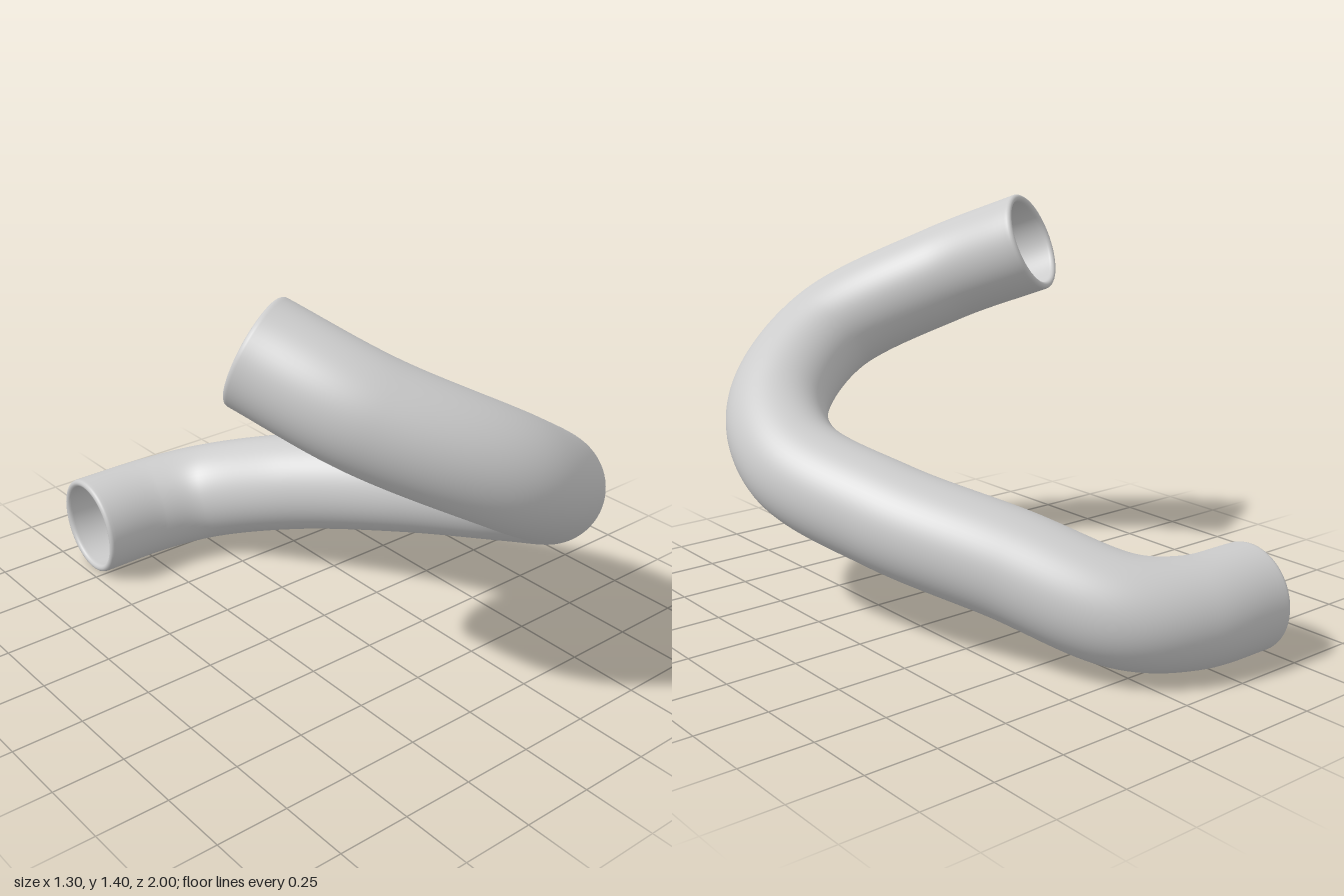
import * as THREE from 'three';

const OUTER = 0.181, INNER = 0.155;
const STEPS = 160, SIDES = 64, RIM = 6;

// Centre line from the low open end to the high open end
const path = new THREE.CatmullRomCurve3([
  [-0.48, 0.182, -0.82],
  [-0.2, 0.188, -0.808],
  [0.0, 0.218, -0.72],
  [0.19, 0.325, -0.4],
  [0.375, 0.42, 0],
  [0.475, 0.53, 0.42],
  [0.365, 0.675, 0.69],
  [0.05, 0.885, 0.819],
  [-0.305, 1.09, 0.59],
  [-0.482, 1.235, 0.27],
].map((p) => new THREE.Vector3(...p)));
path.arcLengthDivisions = 600;

// Hollow pipe: rings run along the outside, round the rim, back inside and round the other rim
function hollowPipe(curve) {
  const frames = curve.computeFrenetFrames(STEPS, false);
  const mid = (OUTER + INNER) / 2, lip = (OUTER - INNER) / 2;
  const rings = [];
  for (let i = 1; i < STEPS; i++) rings.push([i, OUTER, 0]);
  for (let k = 0; k <= RIM; k++) {
    const a = (k / RIM) * Math.PI;
    rings.push([STEPS, mid + lip * Math.cos(a), lip * (Math.sin(a) - 1)]);
  }
  for (let i = STEPS - 1; i > 0; i--) rings.push([i, INNER, 0]);
  for (let k = 0; k <= RIM; k++) {
    const a = (k / RIM) * Math.PI;
    rings.push([0, mid - lip * Math.cos(a), -lip * (Math.sin(a) - 1)]);
  }

  const positions = [], index = [];
  rings.forEach(([i, radius, shift], r) => {
    const centre = curve.getPointAt(i / STEPS).addScaledVector(frames.tangents[i], shift);
    const next = (r + 1) % rings.length;
    for (let j = 0; j < SIDES; j++) {
      const a = (j / SIDES) * Math.PI * 2;
      const p = centre.clone()
        .addScaledVector(frames.normals[i], radius * Math.cos(a))
        .addScaledVector(frames.binormals[i], radius * Math.sin(a));
      positions.push(p.x, p.y, p.z);
      const j2 = (j + 1) % SIDES;
      const A = r * SIDES + j, B = r * SIDES + j2;
      const C = next * SIDES + j, D = next * SIDES + j2;
      index.push(A, B, C, B, D, C);
    }
  });

  const geometry = new THREE.BufferGeometry();
  geometry.setAttribute('position', new THREE.Float32BufferAttribute(positions, 3));
  geometry.setIndex(index);
  geometry.computeVertexNormals();
  return geometry;
}

export function createModel() {
  const group = new THREE.Group();
  group.name = 'bentPipe';
  const material = new THREE.MeshStandardMaterial({ color: 0xcccccc, side: THREE.DoubleSide });
  const pipe = new THREE.Mesh(hollowPipe(path), material);
  pipe.name = 'hollowPipe';
  group.add(pipe);
  return group;
}
